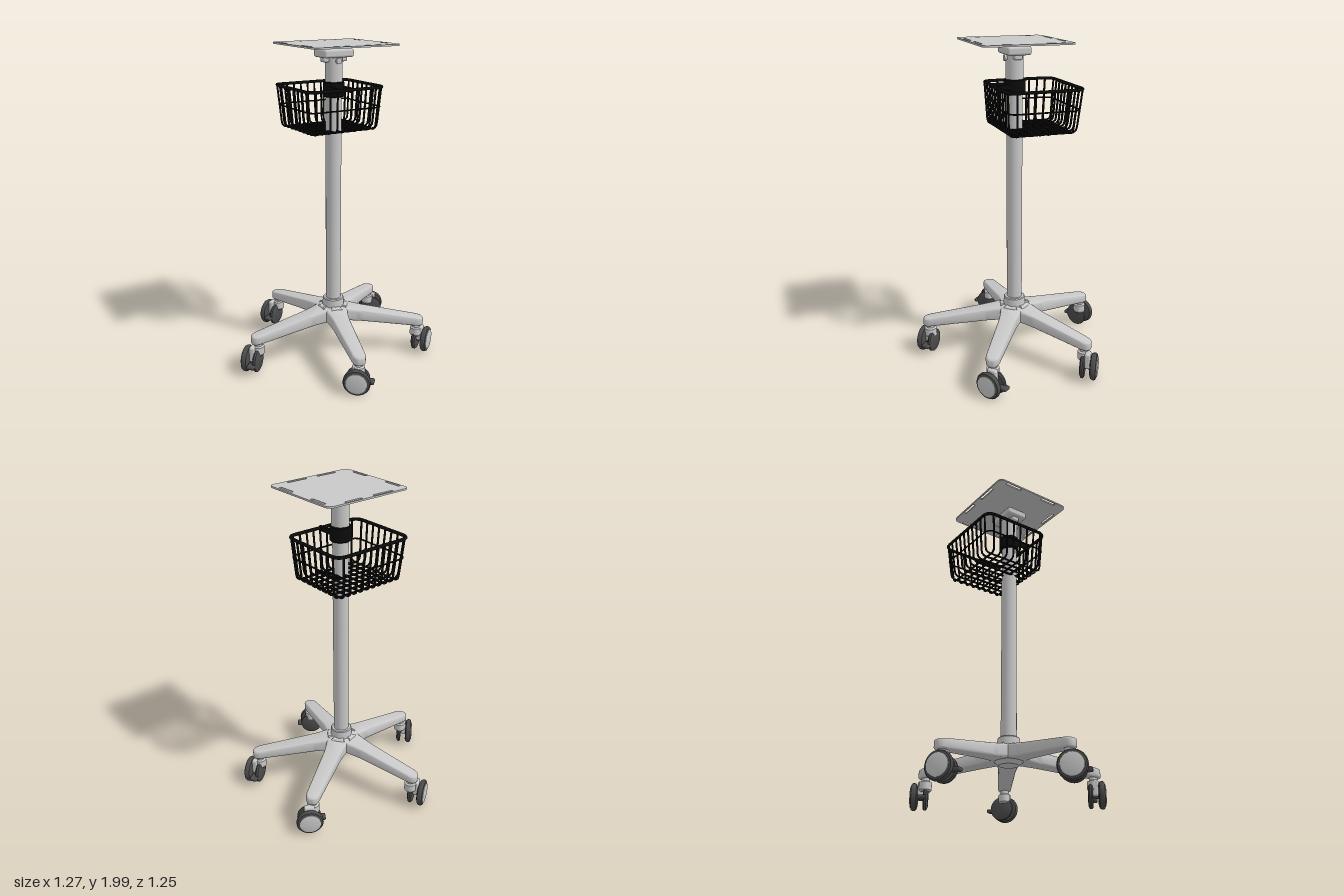
import * as THREE from 'three';
import { toCreasedNormals } from 'three/addons/utils/BufferGeometryUtils.js';
import { RoundedBoxGeometry } from 'three/addons/geometries/RoundedBoxGeometry.js';

const mat = (name, color) => {
  const m = new THREE.MeshStandardMaterial({ color });
  m.name = name;
  return m;
};
const V = (x, y, z) => new THREE.Vector3(x, y, z);
const CX = 0.035; // column axis

export function createModel() {
  const root = new THREE.Group();
  root.name = 'rollingStand';
  const grey = mat('lightGrey', 0xc8c8c8);
  const black = mat('black', 0x0b0b0b);
  const dark = mat('darkGrey', 0x4b4b4b);

  const add = (parent, name, geo, material, x = 0, y = 0, z = 0) => {
    const m = new THREE.Mesh(geo, material);
    m.name = name;
    m.position.set(x, y, z);
    parent.add(m);
    return m;
  };
  const lathe = (pts, seg = 32) =>
    toCreasedNormals(new THREE.LatheGeometry(pts.map(p => new THREE.Vector2(...p)), seg), 0.6);
  const roundRect = (s, x0, y0, x1, y1, r) => {
    s.moveTo(x0 + r, y0);
    s.lineTo(x1 - r, y0); s.quadraticCurveTo(x1, y0, x1, y0 + r);
    s.lineTo(x1, y1 - r); s.quadraticCurveTo(x1, y1, x1 - r, y1);
    s.lineTo(x0 + r, y1); s.quadraticCurveTo(x0, y1, x0, y1 - r);
    s.lineTo(x0, y0 + r); s.quadraticCurveTo(x0, y0, x0 + r, y0);
    return s;
  };

  // Tray plate with slots along each edge (shape y becomes -z)
  const plate = roundRect(new THREE.Shape(), -0.243, -0.275, 0.327, 0.265, 0.04);
  const slots = [
    [-0.13, 0.24, 0.01, 0.257], [0.09, 0.24, 0.207, 0.257],
    [-0.133, -0.263, 0, -0.246], [0.08, -0.263, 0.213, -0.246],
    [-0.235, 0.09, -0.216, 0.205], [-0.235, -0.19, -0.216, -0.075],
    [0.296, 0.09, 0.314, 0.205], [0.296, -0.195, 0.314, -0.08],
  ];
  for (const s of slots) plate.holes.push(roundRect(new THREE.Path(), ...s, 0.006));
  const plateGeo = new THREE.ExtrudeGeometry(plate, { depth: 0.01, bevelEnabled: false, curveSegments: 6 });
  plateGeo.rotateX(-Math.PI / 2);
  add(root, 'tray', plateGeo, grey, 0, 1.99, 0);

  // Tray mount and column
  add(root, 'mountBoss', new THREE.CylinderGeometry(0.04, 0.04, 0.03, 24), grey, CX, 1.978, 0);
  add(root, 'mountBlock', new RoundedBoxGeometry(0.2, 0.05, 0.145, 3, 0.015), grey, CX, 1.944, 0);
  add(root, 'mountTab', new RoundedBoxGeometry(0.16, 0.03, 0.05, 2, 0.008), grey, CX, 1.907, 0);
  add(root, 'lockKnob', new THREE.CylinderGeometry(0.018, 0.018, 0.03, 16).rotateX(Math.PI / 2), grey, CX, 1.9, 0.05);
  add(root, 'columnCollar', new THREE.CylinderGeometry(0.053, 0.053, 0.15, 32), grey, CX, 1.85, 0);
  add(root, 'column', new THREE.CylinderGeometry(0.048, 0.048, 1.6, 32), grey, CX, 1.12, 0);
  add(root, 'hub', lathe([[0, 0.22], [0.06, 0.22], [0.095, 0.25], [0.1, 0.32], [0.07, 0.33],
    [0.067, 0.38], [0.062, 0.386], [0, 0.386]]), grey, CX, 0, 0);

  // Basket clamp around the column
  add(root, 'basketClamp', lathe([[0.048, -0.045], [0.06, -0.045], [0.064, -0.04], [0.064, 0.04],
    [0.06, 0.045], [0.048, 0.045]]), black, CX, 1.732, 0);
  for (const s of [-1, 1]) {
    add(root, 'clampArm', new THREE.BoxGeometry(0.015, 0.03, 0.1), black, CX + s * 0.045, 1.735, 0.08);
  }

  // Wire basket: a path with rounded corners swept by a thin tube
  const basket = new THREE.Group();
  basket.name = 'basket';
  root.add(basket);
  const wire = (name, pts, bend, radius, closed, seg = 48) => {
    const path = new THREE.CurvePath();
    const n = pts.length;
    const toward = (a, b) => a.clone().add(b.clone().sub(a).setLength(bend));
    let last = closed ? toward(pts[0], pts[1]) : pts[0];
    const first = last;
    for (let i = 1; i < (closed ? n + 1 : n - 1); i++) {
      const p = pts[i % n], a = toward(p, pts[i - 1]), b = toward(p, pts[(i + 1) % n]);
      path.add(new THREE.LineCurve3(last, a));
      path.add(new THREE.QuadraticBezierCurve3(a, p, b));
      last = b;
    }
    if (!closed) path.add(new THREE.LineCurve3(last, pts[n - 1]));
    else if (last.distanceTo(first) > 1e-5) path.add(new THREE.LineCurve3(last, first));
    add(basket, name, new THREE.TubeGeometry(path, seg, radius, 6, closed), black);
  };
  const top = { x0: -0.198, x1: 0.322, z0: -0.327, z1: 0.125, y: 1.737 };
  const low = { x0: -0.178, x1: 0.298, z0: -0.302, z1: 0.112, y: 1.482 };
  const mix = THREE.MathUtils.lerp;
  const ring = (name, f, bend, r) => {
    const k = {};
    for (const key in top) k[key] = mix(low[key], top[key], f);
    wire(name, [V(k.x0, k.y, k.z0), V(k.x1, k.y, k.z0), V(k.x1, k.y, k.z1), V(k.x0, k.y, k.z1)], bend, r, true, 96);
  };
  ring('basketRim', 1, 0.06, 0.01);
  ring('basketMiddleWire', 0.53, 0.05, 0.005);
  const NX = 10, NZ = 8;
  for (let i = 0; i < NX; i++) {
    const f = (i + 0.8) / (NX + 0.6), xt = mix(top.x0, top.x1, f), xl = mix(low.x0, low.x1, f);
    wire('basketLongWire', [V(xt, top.y, top.z1), V(xl, low.y, low.z1), V(xl, low.y, low.z0), V(xt, top.y, top.z0)], 0.03, 0.0065, false);
  }
  for (let i = 0; i < NZ; i++) {
    const f = (i + 0.8) / (NZ + 0.6), zt = mix(top.z0, top.z1, f), zl = mix(low.z0, low.z1, f);
    wire('basketCrossWire', [V(top.x0, top.y, zt), V(low.x0, low.y, zl), V(low.x1, low.y, zl), V(top.x1, top.y, zt)], 0.03, 0.0065, false);
  }

  // Leg: plan outline extruded, then sloped and thinned towards the tip
  const plan = new THREE.Shape();
  plan.moveTo(0, -0.085);
  plan.quadraticCurveTo(0.09, -0.05, 0.2, -0.042);
  plan.lineTo(0.54, -0.03);
  plan.quadraticCurveTo(0.578, -0.028, 0.578, 0);
  plan.quadraticCurveTo(0.578, 0.028, 0.54, 0.03);
  plan.lineTo(0.2, 0.042);
  plan.quadraticCurveTo(0.09, 0.05, 0, 0.085);
  const legGeo = new THREE.ExtrudeGeometry(plan, {
    depth: 0.6, bevelThickness: 0.2, bevelSize: 0.012, bevelSegments: 3, curveSegments: 8,
  });
  legGeo.translate(0, 0, 0.2).rotateX(-Math.PI / 2);
  const pos = legGeo.attributes.position;
  for (let i = 0; i < pos.count; i++) {
    const r = pos.getX(i);
    pos.setY(i, mix(0.25 - 0.1 * r, 0.338 - 0.155 * r, pos.getY(i)));
  }
  legGeo.computeVertexNormals();
  const legSmooth = toCreasedNormals(legGeo, 0.7);

  // Caster parts, axle along local z with the capped wheel outward
  const tyre = lathe([[0, -0.02], [0.06, -0.02], [0.076, -0.014], [0.083, -0.003], [0.083, 0.008],
    [0.077, 0.017], [0.066, 0.02], [0, 0.02]]).rotateX(Math.PI / 2);
  const cap = lathe([[0.066, 0.018], [0.064, 0.023], [0.05, 0.026], [0, 0.027]]).rotateX(Math.PI / 2);
  const innerTyre = lathe([[0, -0.014], [0.055, -0.014], [0.072, -0.006], [0.074, 0.006],
    [0.066, 0.014], [0, 0.014]]).rotateX(Math.PI / 2);
  const axle = new THREE.CylinderGeometry(0.022, 0.022, 0.08, 16).rotateX(Math.PI / 2);
  const fork = new RoundedBoxGeometry(0.065, 0.1, 0.036, 3, 0.012);
  const pedal = new RoundedBoxGeometry(0.06, 0.022, 0.05, 2, 0.008);
  const stem = lathe([[0, 0.115], [0.03, 0.115], [0.038, 0.125], [0.038, 0.172], [0.026, 0.178],
    [0.026, 0.21], [0, 0.21]], 24);

  // [leg angle, wheel centre x, z, wheel facing x, z]
  const legs = [
    [180, -0.57, -0.03, -0.69, -0.72],
    [105, -0.14, 0.56, -0.65, 0.76],
    [-104.5, -0.16, -0.575, -0.51, -0.86],
    [32.5, 0.545, 0.335, 0.57, 0.82],
    [-32, 0.555, -0.33, 0.53, -0.85],
  ];
  for (const [deg, wx, wz, nx, nz] of legs) {
    const a = THREE.MathUtils.degToRad(deg);
    add(root, 'leg', legSmooth, grey, CX).rotation.y = -a;
    add(root, 'casterStem', stem, grey, CX + 0.545 * Math.cos(a), 0, 0.545 * Math.sin(a));
    const caster = new THREE.Group();
    caster.name = 'caster';
    caster.position.set(wx, 0.09, wz);
    caster.rotation.y = Math.atan2(nx, nz);
    root.add(caster);
    add(caster, 'outerWheel', tyre, dark);
    add(caster, 'wheelCap', cap, grey);
    add(caster, 'innerWheel', innerTyre, dark, 0, -0.006, -0.068);
    add(caster, 'axle', axle, dark, 0, 0, -0.035);
    add(caster, 'fork', fork, grey, 0, 0.04, -0.037);
    add(caster, 'brakePedal', pedal, dark, 0.07, -0.015, -0.05);
  }
  return root;
}
